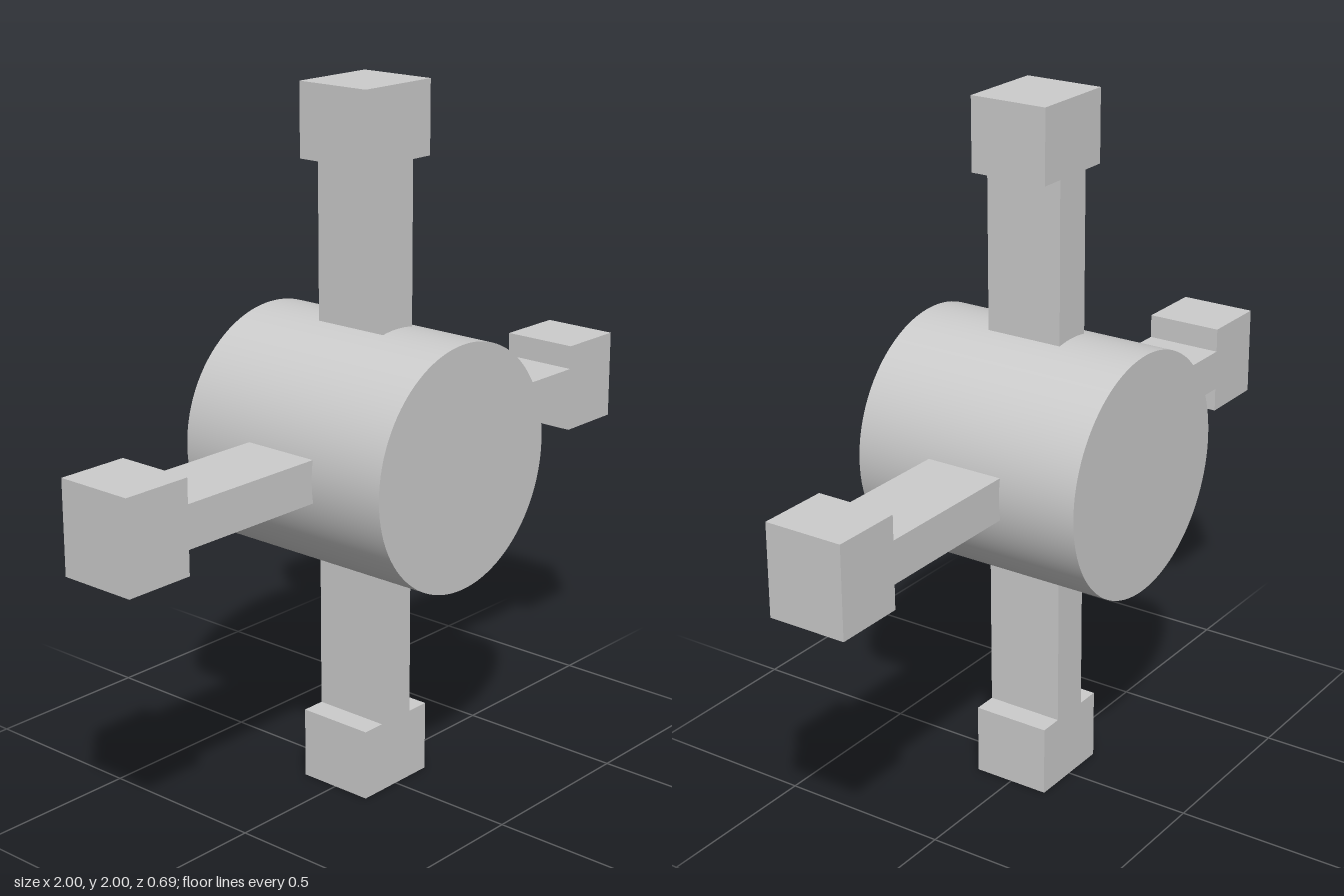
import * as THREE from 'three';

const HUB_RADIUS = 0.345;
const HUB_LENGTH = 0.694;
const DEPTH = 0.23;

// T-shaped outline of one spoke, running outward along +y from inside the hub
function spokeGeometry() {
  const stem = 0.06, head = 0.13, inner = 0.2, neck = 0.795, tip = 1;
  const shape = new THREE.Shape([
    [-stem, inner], [stem, inner], [stem, neck], [head, neck],
    [head, tip], [-head, tip], [-head, neck], [-stem, neck],
  ].map(([x, y]) => new THREE.Vector2(x, y)));
  return new THREE.ExtrudeGeometry(shape, { depth: DEPTH, bevelEnabled: false })
    .translate(0, 0, -DEPTH / 2);
}

export function createModel() {
  const model = new THREE.Group();
  model.name = 'spokedHub';
  const material = new THREE.MeshStandardMaterial({ color: 0xcccccc });

  // Everything radiates from the hub centre, one unit above the ground
  const wheel = new THREE.Group();
  wheel.name = 'wheel';
  wheel.position.y = 1;
  model.add(wheel);

  // Smooth drum with its axis front to back
  const hub = new THREE.Mesh(
    new THREE.CylinderGeometry(HUB_RADIUS, HUB_RADIUS, HUB_LENGTH, 96).rotateX(Math.PI / 2),
    material,
  );
  hub.name = 'hub';
  wheel.add(hub);

  // Four block-ended spokes, a quarter turn apart
  const geometry = spokeGeometry();
  ['topSpoke', 'leftSpoke', 'bottomSpoke', 'rightSpoke'].forEach((name, i) => {
    const spoke = new THREE.Mesh(geometry, material);
    spoke.name = name;
    spoke.rotation.z = -i * Math.PI / 2;
    wheel.add(spoke);
  });

  return model;
}
